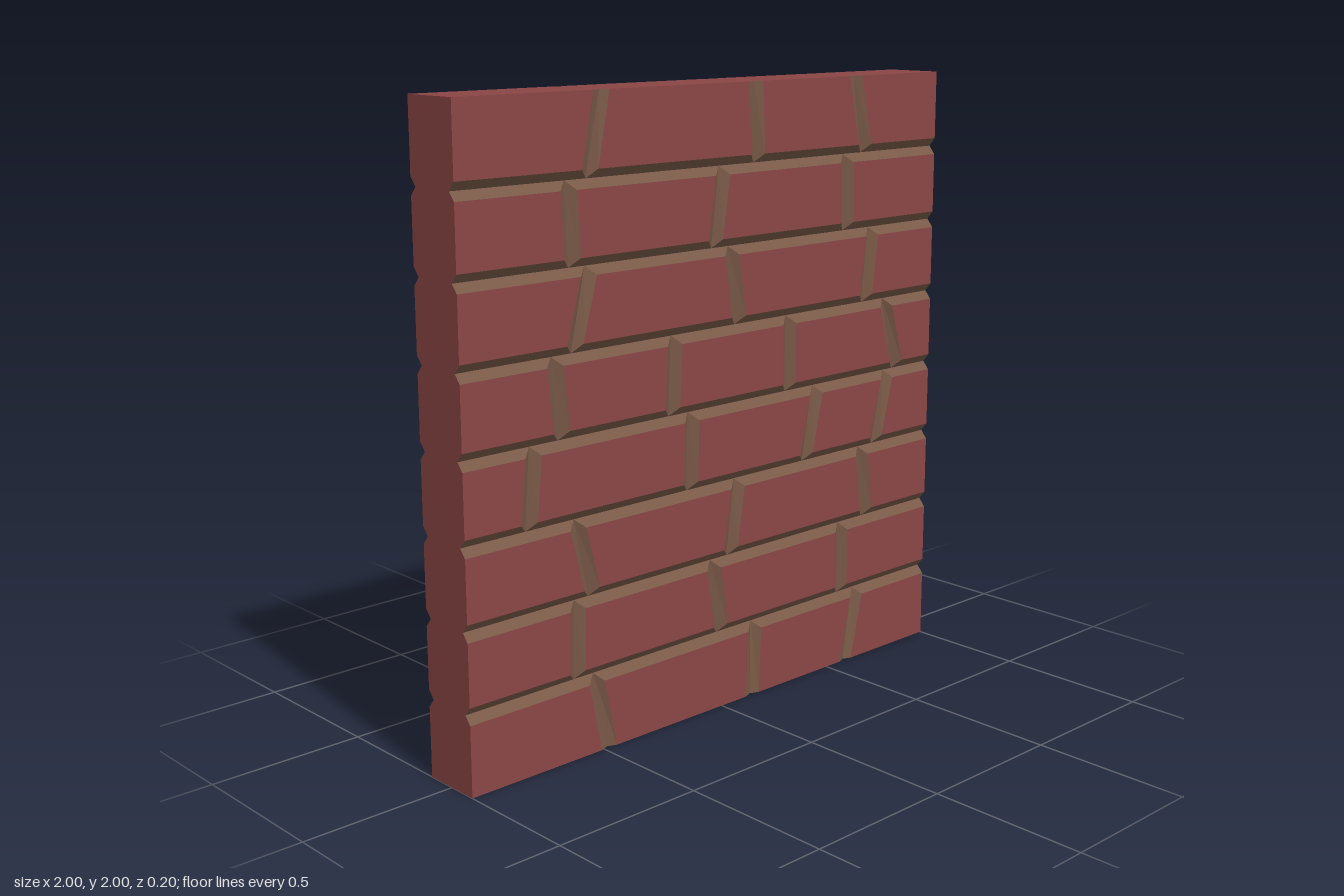
import * as THREE from 'three';

const ROWS = 8, ROW_H = 0.25;
const FACE_Z = 0.1, CORE_Z = 0.078, EDGE_Z = 0.088; // brick face, groove bottom, groove bottom at wall's rim
const BED = 0.027, JOINT = 0.03;                    // half widths of level and upright grooves

// Upright joints of each course, bottom to top: [x at bottom, x at top]
const frontCourses = [
  [[-0.48, -0.525], [0.14, 0.15], [0.595, 0.645]],
  [[-0.6, -0.595], [-0.005, -0.035], [0.565, 0.565]],
  [[-0.54, -0.59], [0.04, 0.07], [0.685, 0.66]],
  [[-0.77, -0.75], [-0.135, -0.13], [0.385, 0.43], [0.73, 0.78]],
  [[-0.645, -0.665], [-0.21, -0.2], [0.3, 0.3], [0.825, 0.77]],
  [[-0.59, -0.535], [0.07, 0.04], [0.665, 0.69]],
  [[-0.595, -0.605], [-0.03, 0], [0.565, 0.56]],
  [[-0.525, -0.48], [0.15, 0.14], [0.645, 0.595]],
];
const backCourses = frontCourses.slice();
backCourses[3] = [[-0.765, -0.81], [-0.13, -0.13], [0.33, 0.28], [0.79, 0.75]];
backCourses[4] = [[-0.7, -0.71], [-0.2, -0.2], [0.41, 0.41], [0.85, 0.8]];

// Adds a convex polygon as a triangle fan, mirrored in z for the back
function addPolygon(list, points, back) {
  for (let i = 1; i < points.length - 1; i++) {
    const tri = [points[0], points[i], points[i + 1]];
    const [a, b, c] = tri.map((p) => new THREE.Vector3(...p));
    if (b.sub(a).cross(c.sub(a)).length() < 1e-9) continue;
    if (back) tri.reverse();
    for (const [x, y, z] of tri) list.push(x, y, back ? -z : z);
  }
}

// One brick: a raised face whose sloping sides meet the neighbours in the groove bottoms
function addBrick(brick, mortar, row, left, right, isFirst, isLast, back) {
  const y0 = row * ROW_H, y1 = y0 + ROW_H;
  const lowest = row === 0, highest = row === ROWS - 1;
  const zLow = lowest ? EDGE_Z : CORE_Z, zHigh = highest ? EDGE_Z : CORE_Z;
  const zAt = (isEnd, z) => (isEnd ? CORE_Z : z);
  const base = [
    [left[0], y0, zAt(isFirst, zLow)], [right[0], y0, zAt(isLast, zLow)],
    [right[1], y1, zAt(isLast, zHigh)], [left[1], y1, zAt(isFirst, zHigh)],
  ];
  const inL = isFirst ? 0 : JOINT, inR = isLast ? 0 : JOINT;
  const f0 = y0 + (lowest ? 0 : BED), f1 = y1 - (highest ? 0 : BED);
  const face = [
    [left[0] + inL, f0, FACE_Z], [right[0] - inR, f0, FACE_Z],
    [right[1] - inR, f1, FACE_Z], [left[1] + inL, f1, FACE_Z],
  ];
  addPolygon(brick, face, back);
  const outer = [lowest, isLast, highest, isFirst];
  for (let i = 0; i < 4; i++) {
    const j = (i + 1) % 4;
    if (outer[i]) {
      const core = (p) => [p[0], p[1], CORE_Z];
      addPolygon(brick, [core(base[i]), core(base[j]), base[j], face[j], face[i], base[i]], back);
    } else {
      addPolygon(mortar, [base[i], base[j], face[j], face[i]], back);
    }
  }
}

function makeMesh(name, positions, material) {
  const geometry = new THREE.BufferGeometry();
  geometry.setAttribute('position', new THREE.Float32BufferAttribute(positions, 3));
  geometry.computeVertexNormals();
  const mesh = new THREE.Mesh(geometry, material);
  mesh.name = name;
  return mesh;
}

export function createModel() {
  const wall = new THREE.Group();
  wall.name = 'brickWall';
  const brickMaterial = new THREE.MeshStandardMaterial({ color: 0x8b4545 });
  const mortarMaterial = new THREE.MeshStandardMaterial({ color: 0x7a5a48 });

  // Solid middle of the wall
  const core = new THREE.Mesh(new THREE.BoxGeometry(2, 2, CORE_Z * 2), brickMaterial);
  core.name = 'wallCore';
  core.position.y = 1;
  wall.add(core);

  // Brickwork on both faces
  for (const [side, courses] of [['front', frontCourses], ['back', backCourses]]) {
    const brick = [], mortar = [];
    courses.forEach((joints, row) => {
      const ends = [[-1, -1], ...joints, [1, 1]];
      for (let i = 0; i < ends.length - 1; i++) {
        addBrick(brick, mortar, row, ends[i], ends[i + 1], i === 0, i === ends.length - 2, side === 'back');
      }
    });
    wall.add(makeMesh(side + 'Bricks', brick, brickMaterial));
    wall.add(makeMesh(side + 'MortarGrooves', mortar, mortarMaterial));
  }
  return wall;
}
